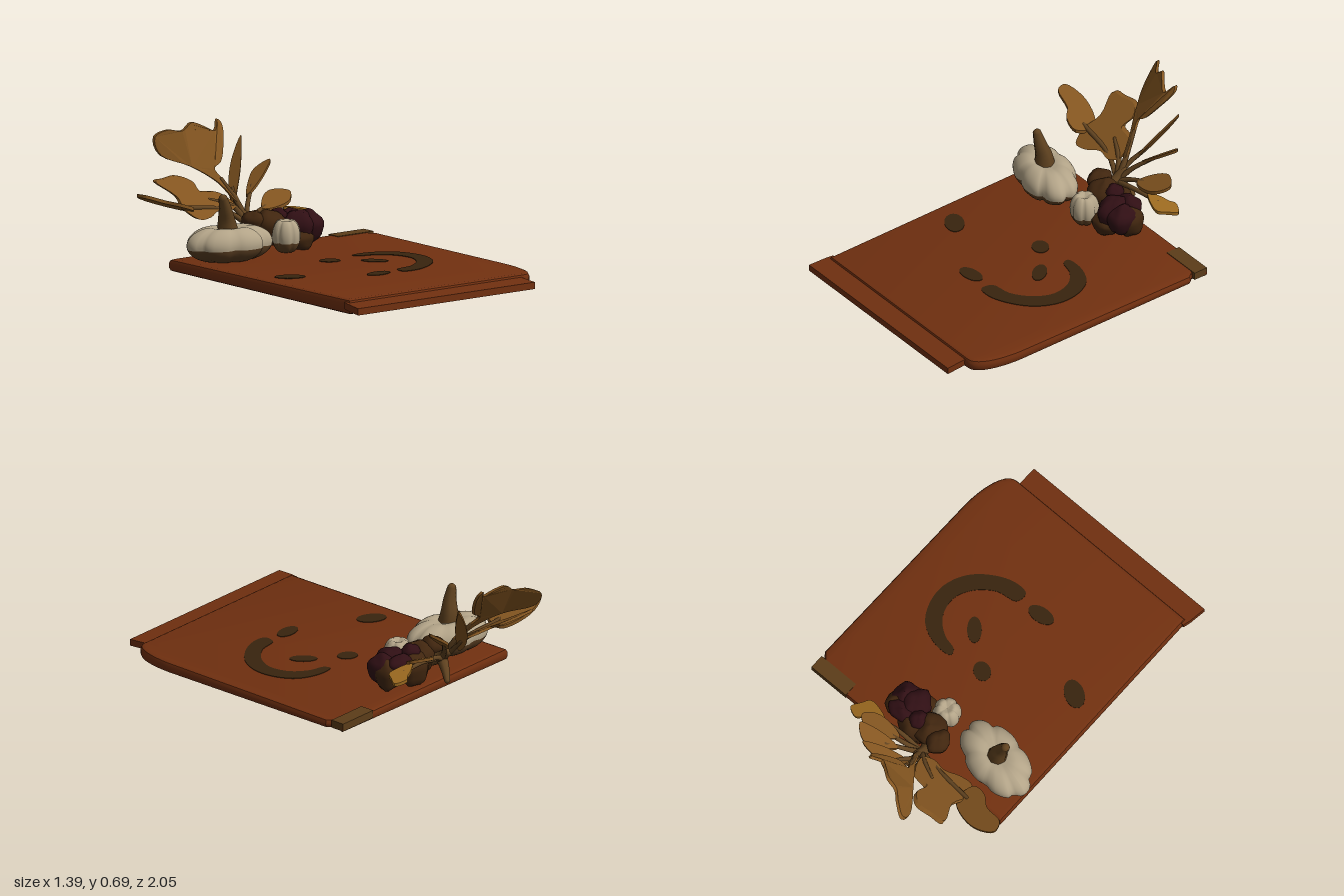
import * as THREE from 'three';
import { toCreasedNormals } from 'three/addons/utils/BufferGeometryUtils.js';

const mat = (name, color) => new THREE.MeshStandardMaterial({ name, color });

export function createModel() {
  const M = {
    rust: mat('rust', 0x713010),
    face: mat('dark face paint', 0x38240e),
    patch: mat('olive brown', 0x5c3d19),
    cream: mat('cream', 0xb3a488),
    earth: mat('earth brown', 0x5c3f22),
    leaf: mat('leaf brown', 0x835520),
    stem: mat('stem brown', 0x614320),
    gold: mat('gold leaf', 0x9c6a20),
    maroon: mat('maroon', 0x300f14),
    berry: mat('dark berry brown', 0x41260f),
  };
  const model = new THREE.Group();
  const add = (name, geo, material, parent = model) => {
    const mesh = new THREE.Mesh(geo, material);
    mesh.name = name;
    parent.add(mesh);
    return mesh;
  };

  // Smooth closed outline through a few points
  const smooth = (pts) => new THREE.Shape(new THREE.CatmullRomCurve3(
    pts.map(([x, y]) => new THREE.Vector3(x, y, 0)), true).getPoints(pts.length * 4)
    .slice(0, -1).map((p) => new THREE.Vector2(p.x, p.y)));
  // Move every vertex by a rule
  const warp = (geo, rule) => {
    const p = geo.attributes.position;
    for (let i = 0; i < p.count; i++) p.setXYZ(i, ...rule(p.getX(i), p.getY(i), p.getZ(i)));
    geo.computeVertexNormals();
    return geo;
  };
  // Sheet outlined in x,z with height y = f(x,z)
  const flatSheet = (shape, f, depth) => warp(
    new THREE.ExtrudeGeometry(shape, { depth, bevelEnabled: false }),
    (x, z, d) => [x, f(x, z) - d, z]);
  // Sheet outlined in x,y with depth z = f(x,y)
  const uprightSheet = (shape, f, depth) => warp(
    new THREE.ExtrudeGeometry(shape, { depth, bevelEnabled: false }),
    (x, y, d) => [x, y, f(x, y) + d]);

  // Board with one rounded corner and an underside that rises slightly
  const outline = new THREE.Shape();
  outline.moveTo(-0.605, -0.58);
  outline.lineTo(0.69, -0.58);
  outline.lineTo(0.67, -0.5);
  outline.lineTo(0.695, -0.47);
  outline.lineTo(0.685, 0.62);
  outline.bezierCurveTo(0.68, 0.76, 0.64, 0.89, 0.57, 0.89);
  outline.lineTo(-0.59, 0.89);
  const board = new THREE.ExtrudeGeometry(outline, {
    depth: 0.036, bevelThickness: 0.022, bevelSize: 0.022, bevelOffset: -0.022, bevelSegments: 2, curveSegments: 10,
  });
  warp(board, (x, z, d) => {
    const y = 0.058 - d;
    const rise = Math.max(0, 0.012 * (x + 0.5) + 0.01 * (0.89 - z));
    return [x, y < 0.04 ? y + rise : y, z];
  });
  add('board', toCreasedNormals(board, 0.5), M.rust);
  const lip = new THREE.Shape([[-0.6, 0.86], [0.548, 0.86], [0.548, 1], [-0.622, 1], [-0.61, 0.9]]
    .map((p) => new THREE.Vector2(...p)));
  add('boardLip', flatSheet(lip, (x, z) => 0.066 - Math.max(0, z - 0.86) * 0.08, 0.036), M.rust);
  const patch = add('cornerPatch', new THREE.BoxGeometry(0.235, 0.042, 0.08), M.patch);
  patch.position.set(0.57, 0.0625, -0.543);

  // Painted face
  const paint = (name, shape) => add(name, flatSheet(shape, () => 0.083, 0.006), M.face);
  [['eyeLeft', 0.01, -0.02, 0.055, 0.045, 0.5], ['eyeRight', -0.43, 0.2, 0.08, 0.052, 0.55],
    ['nose', 0.19, 0.125, 0.072, 0.038, 0.85], ['mouthCorner', -0.015, 0.413, 0.075, 0.042, -0.12]]
    .forEach(([name, x, z, a, b, turn]) => {
      const s = new THREE.Shape();
      s.absellipse(x, z, a, b, 0, Math.PI * 2, false, turn);
      paint(name, s);
    });
  paint('smile', smooth([[0.19, -0.06], [0.28, -0.07], [0.4, -0.02], [0.46, 0.08], [0.47, 0.2],
    [0.42, 0.32], [0.32, 0.41], [0.2, 0.46], [0.12, 0.45], [0.13, 0.385], [0.24, 0.36],
    [0.34, 0.28], [0.385, 0.18], [0.36, 0.07], [0.28, 0.0], [0.2, -0.025]]));

  // Ribbed pumpkins, cream above and earthy below
  const pumpkin = (name, pos, size, ribs, turn, split) => {
    const g = new THREE.Group();
    g.name = name;
    const rule = (x, y, z) => {
      const rho = Math.hypot(x, z);
      const rib = 1 - 0.13 * (1 - Math.abs(Math.sin(Math.atan2(z, x) * ribs / 2 + 0.4))) ** 2 * rho;
      const wide = Math.max(rho, 0.01) ** -0.2;
      const h = y - (y > 0 ? 0.3 : 0.1) * Math.exp(-rho * rho * 12) * Math.sign(y);
      return [x * rib * wide * size[0], h * rib * size[1], z * rib * wide * size[2]];
    };
    add('pumpkinTop', warp(new THREE.SphereGeometry(1, 48, 14, 0, Math.PI * 2, 0, split), rule), M.cream, g);
    add('pumpkinBase', warp(new THREE.SphereGeometry(1, 48, 10, 0, Math.PI * 2, split, Math.PI - split), rule), M.earth, g);
    g.position.set(...pos);
    g.rotation.y = turn;
    model.add(g);
  };
  pumpkin('largePumpkin', [-0.385, 0.17, -0.36], [0.242, 0.1, 0.148], 7, -0.2, 1.75);
  pumpkin('smallPumpkin', [-0.025, 0.17, -0.335], [0.076, 0.094, 0.076], 6, 0.2, 1.95);

  // Tapered tube for stems and twigs
  const twig = (name, pts, r0, r1) => {
    const curve = new THREE.CatmullRomCurve3(pts.map((p) => new THREE.Vector3(...p)));
    const geo = new THREE.TubeGeometry(curve, 10, 1, 8);
    const p = geo.attributes.position;
    for (let i = 0; i < p.count; i++) {
      const t = Math.floor(i / 9) / 10;
      const c = curve.getPointAt(t);
      const v = new THREE.Vector3().fromBufferAttribute(p, i).sub(c)
        .multiplyScalar(r0 + (r1 - r0) * t).add(c);
      p.setXYZ(i, v.x, v.y, v.z);
    }
    add(name, geo, M.stem);
    const cap = add(name + 'End', new THREE.SphereGeometry(r1, 8, 6), M.stem);
    cap.position.set(...pts[pts.length - 1]);
  };
  twig('pumpkinStem', [[-0.39, 0.22, -0.36], [-0.4, 0.29, -0.36], [-0.415, 0.35, -0.35], [-0.435, 0.41, -0.345]], 0.058, 0.024);

  // Lumpy fruit cluster
  const lump = (name, material, pos, size) => {
    const geo = warp(new THREE.SphereGeometry(1, 16, 12), (x, y, z) => {
      const k = 1 + 0.1 * Math.sin(5 * x + pos[0] * 40) * Math.cos(4 * z + pos[2] * 30) + 0.05 * Math.sin(6 * y);
      return [x * k * size[0], y * k * size[1], z * k * size[2]];
    });
    add(name, geo, material).position.set(...pos);
  };
  [[[0.12, 0.185, -0.42], [0.085, 0.095, 0.095]], [[0.19, 0.185, -0.42], [0.065, 0.085, 0.085]],
    [[0.04, 0.24, -0.48], [0.05, 0.05, 0.05]], [[0.14, 0.22, -0.5], [0.08, 0.05, 0.05]]]
    .forEach(([p, s]) => lump('maroonFruit', M.maroon, p, s));
  [[[0.205, 0.165, -0.46], [0.056, 0.085, 0.07]], [[-0.11, 0.23, -0.5], [0.06, 0.06, 0.07]],
    [[-0.03, 0.2, -0.47], [0.085, 0.085, 0.09]], [[0.05, 0.17, -0.52], [0.09, 0.09, 0.06]],
    [[0.1, 0.13, -0.37], [0.08, 0.055, 0.06]]]
    .forEach(([p, s]) => lump('darkFruit', M.berry, p, s));

  // Tall lobed leaf leaning back
  add('tallLeaf', uprightSheet(smooth([[-0.1, 0.31], [-0.15, 0.4], [-0.24, 0.48], [-0.335, 0.53], [-0.33, 0.62],
    [-0.27, 0.655], [-0.22, 0.65], [-0.16, 0.69], [-0.11, 0.67], [-0.06, 0.645], [-0.015, 0.695], [0.0, 0.67],
    [-0.05, 0.57], [-0.1, 0.5], [-0.145, 0.47], [-0.12, 0.41], [-0.085, 0.32]]),
  (x, y) => -0.62 - (y - 0.25) * 0.72 + (x + 0.12) * 0.55 - 2 * (x + 0.17) ** 2, 0.018), M.leaf);
  // Broad side leaf
  add('broadLeaf', uprightSheet(smooth([[-0.12, 0.3], [-0.17, 0.28], [-0.25, 0.285], [-0.33, 0.265], [-0.41, 0.265],
    [-0.44, 0.31], [-0.42, 0.36], [-0.47, 0.425], [-0.4, 0.432], [-0.3, 0.435], [-0.25, 0.405], [-0.26, 0.37],
    [-0.2, 0.36], [-0.15, 0.35]]),
  (x, y) => -0.61 - (y - 0.27) * 1.75, 0.025), M.leaf);

  // Spreading narrow leaves
  const spread = [
    ['spoonLeaf', M.leaf, [[-0.41, -0.7], [-0.48, -0.75], [-0.6, -0.77], [-0.695, -0.73], [-0.68, -0.67],
      [-0.57, -0.645], [-0.51, -0.595], [-0.43, -0.59]], (x, z) => 0.415 - (x + 0.7) * 0.36 + 0.1 * (z + 0.68)],
    ['uprightLeaf', M.leaf, [[-0.08, -0.7], [-0.05, -0.78], [0.02, -0.845], [0.095, -0.86], [0.06, -0.81],
      [0.0, -0.75]], (x, z) => 0.3 + (x + 0.08) * 1.55 - (z + 0.72) * 0.25],
    ['bowedLeaf', M.leaf, [[0.0, -0.69], [0.06, -0.76], [0.14, -0.805], [0.205, -0.755], [0.14, -0.715],
      [0.06, -0.69]], (x) => 0.33 + x * 0.75],
    ['lowLeaf', M.leaf, [[0.05, -0.62], [0.1, -0.69], [0.18, -0.725], [0.265, -0.67], [0.22, -0.61],
      [0.13, -0.595]], (x, z) => 0.265 + (x - 0.05) * 0.2 - (z + 0.63) * 0.4],
    ['goldLeaf', M.gold, [[0.17, -0.6], [0.22, -0.64], [0.27, -0.66], [0.3, -0.68], [0.36, -0.65], [0.33, -0.6],
      [0.3, -0.56], [0.24, -0.565]], (x) => 0.255 - (x - 0.2) * 0.2],
  ];
  spread.forEach(([name, m, pts, f]) => add(name, flatSheet(smooth(pts), f, 0.018), m));

  // Twigs gathering the leaves
  const root = [-0.08, 0.2, -0.59];
  twig('tallLeafTwig', [root, [-0.09, 0.3, -0.65], [-0.13, 0.42, -0.74]], 0.018, 0.01);
  twig('broadLeafTwig', [root, [-0.13, 0.29, -0.64], [-0.24, 0.33, -0.7]], 0.018, 0.01);
  twig('spoonLeafTwig', [root, [-0.2, 0.28, -0.63], [-0.45, 0.318, -0.66]], 0.015, 0.012);
  twig('uprightLeafTwig', [root, [-0.085, 0.27, -0.66], [-0.04, 0.36, -0.755]], 0.016, 0.01);
  twig('bowedLeafTwig', [root, [-0.03, 0.28, -0.65], [0.06, 0.365, -0.725]], 0.016, 0.01);
  twig('lowLeafTwig', [root, [0.0, 0.24, -0.62], [0.12, 0.275, -0.65]], 0.016, 0.01);
  twig('goldLeafTwig', [root, [0.06, 0.23, -0.59], [0.24, 0.238, -0.61]], 0.015, 0.01);
  twig('hangingTwig', [root, [-0.06, 0.15, -0.63], [-0.04, 0.11, -0.66]], 0.03, 0.016);
  twig('backBundle', [[-0.06, 0.17, -0.5], [-0.08, 0.2, -0.57], [-0.08, 0.25, -0.63]], 0.035, 0.024);

  return model;
}
